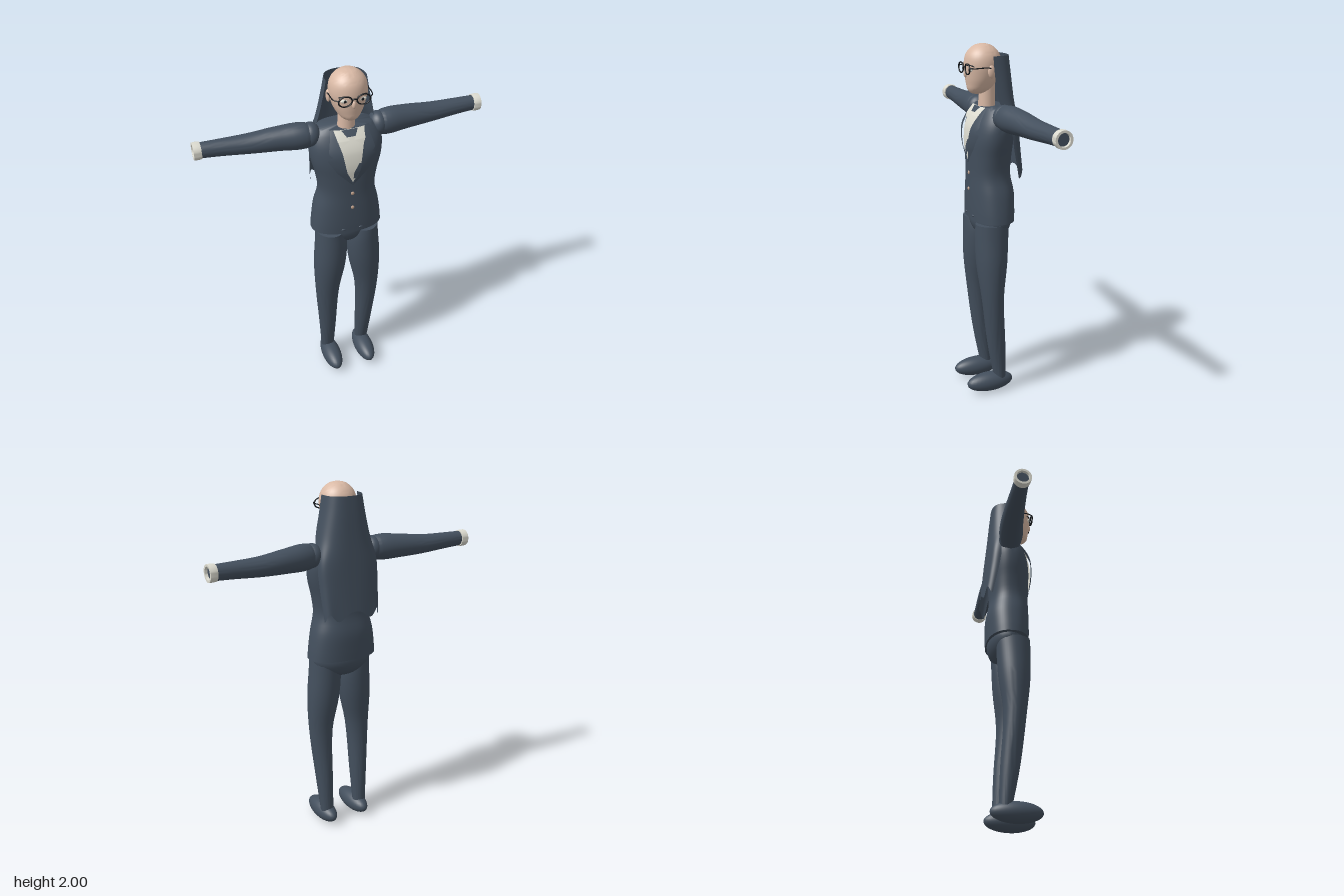
import * as THREE from 'three';
import { mergeVertices, toCreasedNormals } from 'three/addons/utils/BufferGeometryUtils.js';

const material = (name, color, side = THREE.FrontSide) => {
  const m = new THREE.MeshStandardMaterial({ color, side });
  m.name = name;
  return m;
};

// Surface from a rule fn(u, v) -> [x, y, z], u and v running 0..1
function grid(nu, nv, fn) {
  const pos = [], index = [];
  for (let j = 0; j <= nv; j++) for (let i = 0; i <= nu; i++) pos.push(...fn(i / nu, j / nv));
  for (let j = 0; j < nv; j++) for (let i = 0; i < nu; i++) {
    const a = j * (nu + 1) + i, b = a + nu + 1;
    index.push(a, b, a + 1, a + 1, b, b + 1);
  }
  const g = new THREE.BufferGeometry();
  g.setAttribute('position', new THREE.Float32BufferAttribute(pos, 3));
  g.setIndex(index);
  const merged = mergeVertices(g, 1e-5);
  merged.computeVertexNormals();
  return merged;
}

// Smooth interpolation through rows of [t, ...values]
function curveThrough(rows) {
  const n = rows[0].length - 1;
  const c = new THREE.CubicInterpolant(rows.map(r => r[0]), rows.flatMap(r => r.slice(1)), n, new Float32Array(n));
  return t => Array.from(c.evaluate(t));
}

const spow = (v, p) => Math.sign(v) * Math.abs(v) ** p;

// Closed body through sections [y, centreX, centreZ, radiusX, radiusZ]
function loft(rows, power = 1, seg = 40, sub = 4) {
  const at = curveThrough(rows), ts = [];
  rows.forEach((r, i) => {
    if (i) for (let k = 1; k <= sub; k++) ts.push(THREE.MathUtils.lerp(rows[i - 1][0], r[0], k / sub));
    else ts.push(r[0]);
  });
  const nv = ts.length + 1;
  const g = grid(seg, nv, (u, v) => {
    const j = Math.round(v * nv), cap = j === 0 || j === nv ? 0 : 1;
    const t = ts[THREE.MathUtils.clamp(j - 1, 0, ts.length - 1)];
    const [cx, cz, rx, rz] = at(t), a = (Math.round(u * seg) % seg) / seg * Math.PI * 2;
    return [cx + cap * rx * spow(Math.cos(a), power), t, cz + cap * rz * spow(Math.sin(a), power)];
  });
  return toCreasedNormals(g, 0.9);
}

const TORSO_POWER = 0.85;
const TORSO = [
  [1.045, 0, -0.008, 0.2, 0.118], [1.1, 0, -0.008, 0.195, 0.12], [1.2, 0, -0.008, 0.18, 0.12],
  [1.3, 0, 0, 0.157, 0.11], [1.4, 0, 0, 0.17, 0.112], [1.5, 0, -0.003, 0.194, 0.115],
  [1.58, 0, -0.012, 0.198, 0.108], [1.64, 0, -0.022, 0.18, 0.09], [1.67, 0, -0.025, 0.15, 0.075],
];
const torsoAt = curveThrough(TORSO);
function torsoFront(x, y) {
  const [, cz, rx, rz] = torsoAt(y), e = 2 / TORSO_POWER;
  return cz + rz * Math.max(0, 1 - Math.abs(x / rx) ** e) ** (1 / e);
}

// Cloth panel on the chest through rows [y, xFrom, xTo, liftFrom, liftTo]
function chestPanel(rows) {
  const at = (y) => {
    let i = 1;
    while (i < rows.length - 1 && y > rows[i][0]) i++;
    const a = rows[i - 1], b = rows[i], k = (y - a[0]) / (b[0] - a[0]);
    return a.map((v, n) => THREE.MathUtils.lerp(v, b[n], k));
  };
  const y0 = rows[0][0], y1 = rows[rows.length - 1][0];
  return grid(8, 28, (u, v) => {
    const y = y0 + (y1 - y0) * v, [, xa, xb, la, lb] = at(y);
    const x = THREE.MathUtils.lerp(xb, xa, u);
    return [x, y, torsoFront(x, y) + THREE.MathUtils.lerp(lb, la, u)];
  });
}

export function createModel() {
  const suit = material('charcoal blue cloth', 0x434f5d, THREE.DoubleSide);
  const skin = material('skin', 0xd9b9a5);
  const linen = material('off white linen', 0xdcdbd0, THREE.DoubleSide);
  const black = material('black frame', 0x15181c);
  const tan = material('tan button', 0xc0a08a);

  const model = new THREE.Group();
  const add = (name, geometry, mat, parent = model) => {
    const m = new THREE.Mesh(geometry, mat);
    m.name = name;
    parent.add(m);
    return m;
  };
  const ball = (name, mat, p, s) => add(name, new THREE.SphereGeometry(1, 28, 20).scale(...s).translate(...p), mat);
  const tube = (name, pts, r) => add(name, new THREE.TubeGeometry(
    new THREE.CatmullRomCurve3(pts.map(p => new THREE.Vector3(...p))), 16, r, 8), black);
  // Mirrored copy across x = 0 with its faces turned back outward
  const mirror = (geometry) => {
    const g = geometry.clone().toNonIndexed().scale(-1, 1, 1);
    for (const a of Object.values(g.attributes)) for (let i = 0; i < a.count; i += 3) for (let k = 0; k < a.itemSize; k++) {
      const t = a.getComponent(i + 1, k);
      a.setComponent(i + 1, k, a.getComponent(i + 2, k));
      a.setComponent(i + 2, k, t);
    }
    return g;
  };
  const pair = (name, geometry, mat) => {
    add('left ' + name, geometry, mat);
    add('right ' + name, mirror(geometry), mat);
  };

  // Jacket and hips
  add('jacket', loft(TORSO, TORSO_POWER, 56), suit);
  ball('hips', suit, [0, 1.04, -0.01], [0.178, 0.115, 0.108]);

  // Shirt, tie and lapels
  add('shirt front', chestPanel([[1.38, 0, 0, 0.006, 0.006], [1.45, -0.035, 0.035, 0.012, 0.012],
    [1.56, -0.055, 0.055, 0.014, 0.014], [1.67, -0.085, 0.085, 0.006, 0.006]]), linen);
  add('tie', chestPanel([[1.41, 0, 0.01, 0.014, 0.014], [1.45, 0.002, 0.034, 0.018, 0.018],
    [1.5, 0.03, 0.042, 0.018, 0.018]]), suit);
  add('tie knot', chestPanel([[1.64, -0.025, 0.025, 0.017, 0.017], [1.67, -0.045, 0.045, 0.01, 0.01]]), suit);
  pair('collar wing', chestPanel([[1.6, 0.055, 0.06, 0.022, 0.022], [1.625, 0.012, 0.075, 0.022, 0.022],
    [1.67, 0.045, 0.08, 0.012, 0.012]]), linen);
  pair('lapel', chestPanel([[1.365, 0, 0.004, 0.006, 0.004], [1.45, 0.035, 0.085, 0.018, 0.012],
    [1.535, 0.054, 0.138, 0.024, 0.02], [1.55, 0.057, 0.105, 0.024, 0.022],
    [1.565, 0.06, 0.128, 0.024, 0.02], [1.67, 0.084, 0.1, 0.008, 0.008]]), suit);
  for (const y of [1.215, 1.305]) ball('button', tan, [0, y, torsoFront(0, y) + 0.002], [0.01, 0.01, 0.005]);
  for (const x of [-0.05, 0.05]) ball('hem stud', suit, [x, 1.07, torsoFront(x, 1.07)], [0.012, 0.006, 0.005]);

  // Legs and shoes
  pair('leg', loft([[0.08, 0.11, -0.032, 0.038, 0.034], [0.3, 0.115, -0.008, 0.05, 0.052],
    [0.6, 0.12, 0.018, 0.07, 0.063], [0.8, 0.103, 0.018, 0.092, 0.087],
    [0.95, 0.094, 0.015, 0.09, 0.094], [1.03, 0.098, 0.012, 0.08, 0.095]]), suit);
  pair('shoe', new THREE.SphereGeometry(1, 32, 20).scale(0.056, 0.057, 0.14).translate(0.106, 0.062, 0.028), suit);

  // Arms, shoulders and cuffs
  pair('sleeve', loft([[0.18, -1.63, -0.02, 0.058, 0.054], [0.22, -1.631, -0.023, 0.07, 0.066],
    [0.35, -1.628, -0.04, 0.065, 0.064], [0.5, -1.622, -0.052, 0.053, 0.055],
    [0.65, -1.625, -0.058, 0.045, 0.044], [0.76, -1.627, -0.061, 0.041, 0.038]]).rotateZ(-Math.PI / 2), suit);
  pair('shoulder', new THREE.SphereGeometry(1, 28, 20).scale(0.052, 0.066, 0.064).translate(0.185, 1.632, -0.02), suit);
  const cuff = [[0.036, 0], [0.045, 0], [0.047, 0.018], [0.046, 0.04], [0.034, 0.04], [0.032, 0.02]];
  pair('cuff', toCreasedNormals(new THREE.LatheGeometry(cuff.map(p => new THREE.Vector2(...p)), 32), 0.6)
    .rotateZ(-Math.PI / 2).translate(0.75, 1.627, -0.061), linen);
  pair('cuff opening', new THREE.CircleGeometry(0.036, 28).rotateY(Math.PI / 2).translate(0.775, 1.627, -0.061), suit);

  // Head and neck
  add('head', loft([[1.737, 0, 0.06, 0.022, 0.03], [1.75, 0, 0.053, 0.044, 0.055], [1.79, 0, 0.042, 0.073, 0.078],
    [1.84, 0, 0.033, 0.092, 0.094], [1.9, 0, 0.03, 0.1, 0.1], [1.95, 0, 0.03, 0.087, 0.087],
    [1.98, 0, 0.03, 0.06, 0.06], [1.993, 0, 0.03, 0.037, 0.037], [2.0, 0, 0.03, 0.006, 0.006]]), skin);
  add('neck', new THREE.CylinderGeometry(0.043, 0.047, 0.18, 28).translate(0, 1.72, 0.006), skin);
  ball('nose', skin, [0, 1.845, 0.126], [0.011, 0.022, 0.012]);

  // Ears, eyes and spectacles
  for (const s of [-1, 1]) {
    ball('ear', skin, [s * 0.1, 1.86, 0.018], [0.011, 0.034, 0.02]);
    ball('eye white', linen, [s * 0.046, 1.868, 0.117], [0.022, 0.01, 0.008]);
    ball('pupil', black, [s * 0.046, 1.868, 0.123], [0.008, 0.008, 0.004]);
    tube('eyebrow', [[s * 0.022, 1.888, 0.126], [s * 0.046, 1.893, 0.121], [s * 0.072, 1.885, 0.103]], 0.003);
    add('spectacle rim', new THREE.TorusGeometry(0.035, 0.0042, 8, 32).scale(1, 0.78, 1)
      .translate(s * 0.048, 1.873, 0.134), black);
    tube('spectacle arm', [[s * 0.083, 1.88, 0.133], [s * 0.102, 1.88, 0.11], [s * 0.106, 1.88, 0.03], [s * 0.106, 1.868, 0.01]], 0.003);
  }
  tube('spectacle bridge', [[-0.015, 1.878, 0.134], [0, 1.882, 0.137], [0.015, 1.878, 0.134]], 0.0038);

  // Long cloth hanging from the back of the head: [t, y, halfWidth, frontZ, backZ]
  const veil = curveThrough([[0, 1.31, 0.166, -0.115, -0.16], [0.2, 1.45, 0.174, -0.085, -0.148],
    [0.45, 1.6, 0.176, -0.055, -0.135], [0.65, 1.72, 0.152, 0, -0.124],
    [0.85, 1.85, 0.124, 0.01, -0.113], [1, 1.94, 0.108, 0.012, -0.104]]);
  add('head cloth', grid(48, 32, (u, v) => {
    const [y, w, zf, zb] = veil(v), a = Math.PI * (1 + u);
    const wave = (1 - v) ** 3 * 0.022 * Math.cos(a * 6);
    return [w * spow(Math.cos(a), 0.75), y - wave, zf + (zb - zf) * Math.abs(Math.sin(a)) ** 0.7];
  }), suit);

  return model;
}
